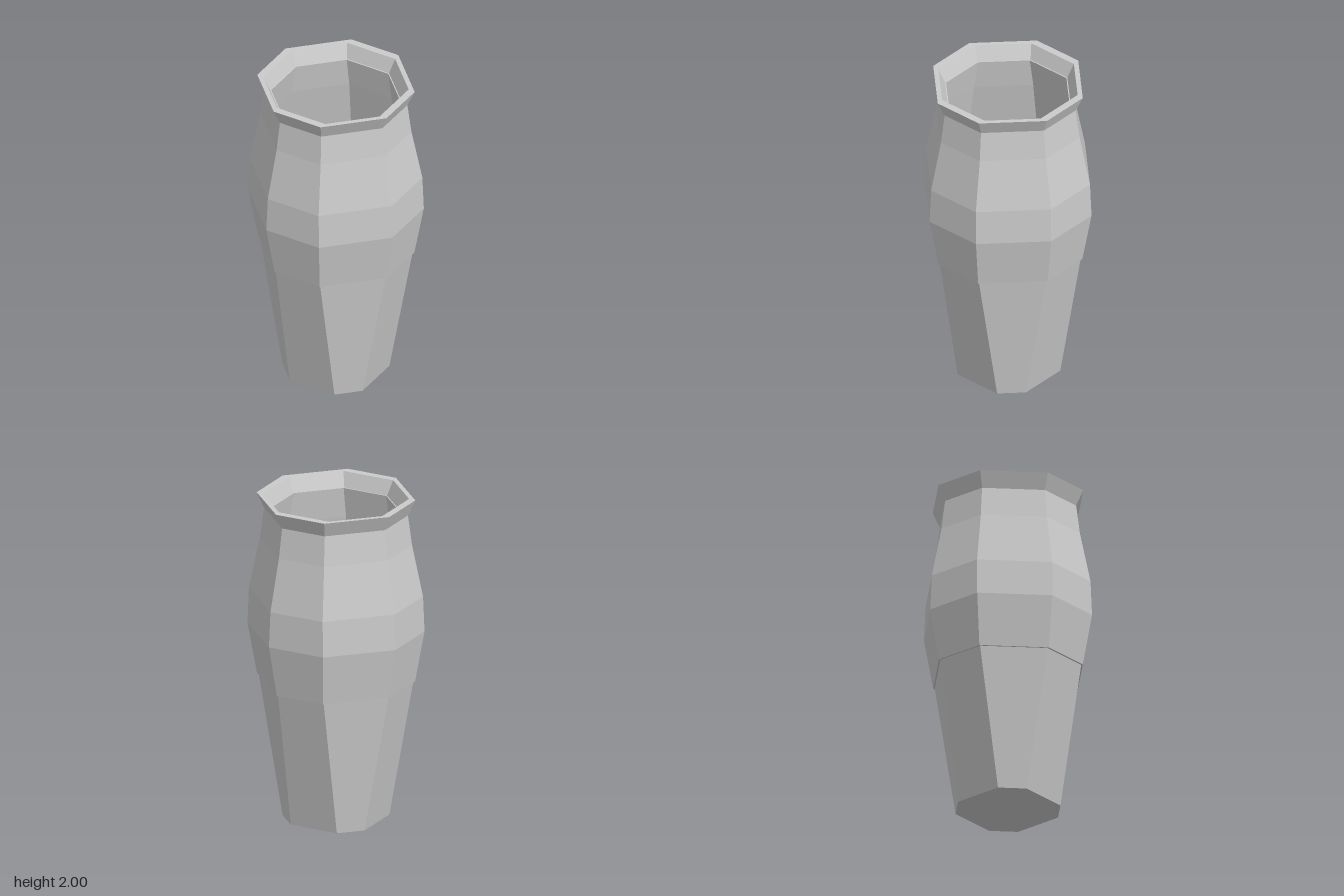
import * as THREE from 'three';

// Octagon with sides facing the axes: a = half width, b = half length of those sides
function octagon([a, b, y]) {
  return [[a, b], [b, a], [-b, a], [-a, b], [-a, -b], [-b, -a], [b, -a], [a, -b]]
    .map(([x, z]) => [x, y, z]);
}

// Joins octagonal rings [a, b, y]; rings that run upwards face outwards
function octagonalShell(name, rings, material) {
  const positions = [];
  for (let r = 0; r < rings.length - 1; r++) {
    const low = octagon(rings[r]);
    const high = octagon(rings[r + 1]);
    for (let i = 0; i < 8; i++) {
      const j = (i + 1) % 8;
      if (rings[r + 1][0] > 0) positions.push(...low[i], ...high[i], ...high[j]);
      if (rings[r][0] > 0) positions.push(...low[i], ...high[j], ...low[j]);
    }
  }
  const geometry = new THREE.BufferGeometry();
  geometry.setAttribute('position', new THREE.Float32BufferAttribute(positions, 3));
  geometry.computeVertexNormals();
  const mesh = new THREE.Mesh(geometry, material);
  mesh.name = name;
  return mesh;
}

export function createModel() {
  const vase = new THREE.Group();
  vase.name = 'vase';
  const material = new THREE.MeshStandardMaterial({ color: 0xcccccc, flatShading: true });

  // Tapered foot with its closed base
  const lowerBody = [[0, 0, 0], [0.303, 0.085, 0], [0.416, 0.2, 0.865]];
  // Belly, shoulder and neck, overhanging the foot by a small step
  const upperBody = [
    [0.416, 0.2, 0.865], [0.425, 0.205, 0.865], [0.478, 0.222, 1.18],
    [0.469, 0.222, 1.4], [0.409, 0.195, 1.72], [0.387, 0.186, 1.905],
  ];
  // Flared rim, its flat top, the inner bevel and a narrow ledge
  const rim = [
    [0.387, 0.186, 1.905], [0.428, 0.2, 2], [0.4, 0.165, 2],
    [0.361, 0.158, 1.91], [0.355, 0.153, 1.91],
  ];
  // Hollow inside, from the ledge down to the floor
  const interior = [
    [0.355, 0.153, 1.91], [0.38, 0.175, 1.72], [0.44, 0.2, 1.4],
    [0.45, 0.2, 1.18], [0.392, 0.178, 0.865], [0.283, 0.063, 0.04], [0, 0, 0.04],
  ];

  vase.add(
    octagonalShell('lowerBody', lowerBody, material),
    octagonalShell('upperBody', upperBody, material),
    octagonalShell('rim', rim, material),
    octagonalShell('interior', interior, material),
  );
  return vase;
}
